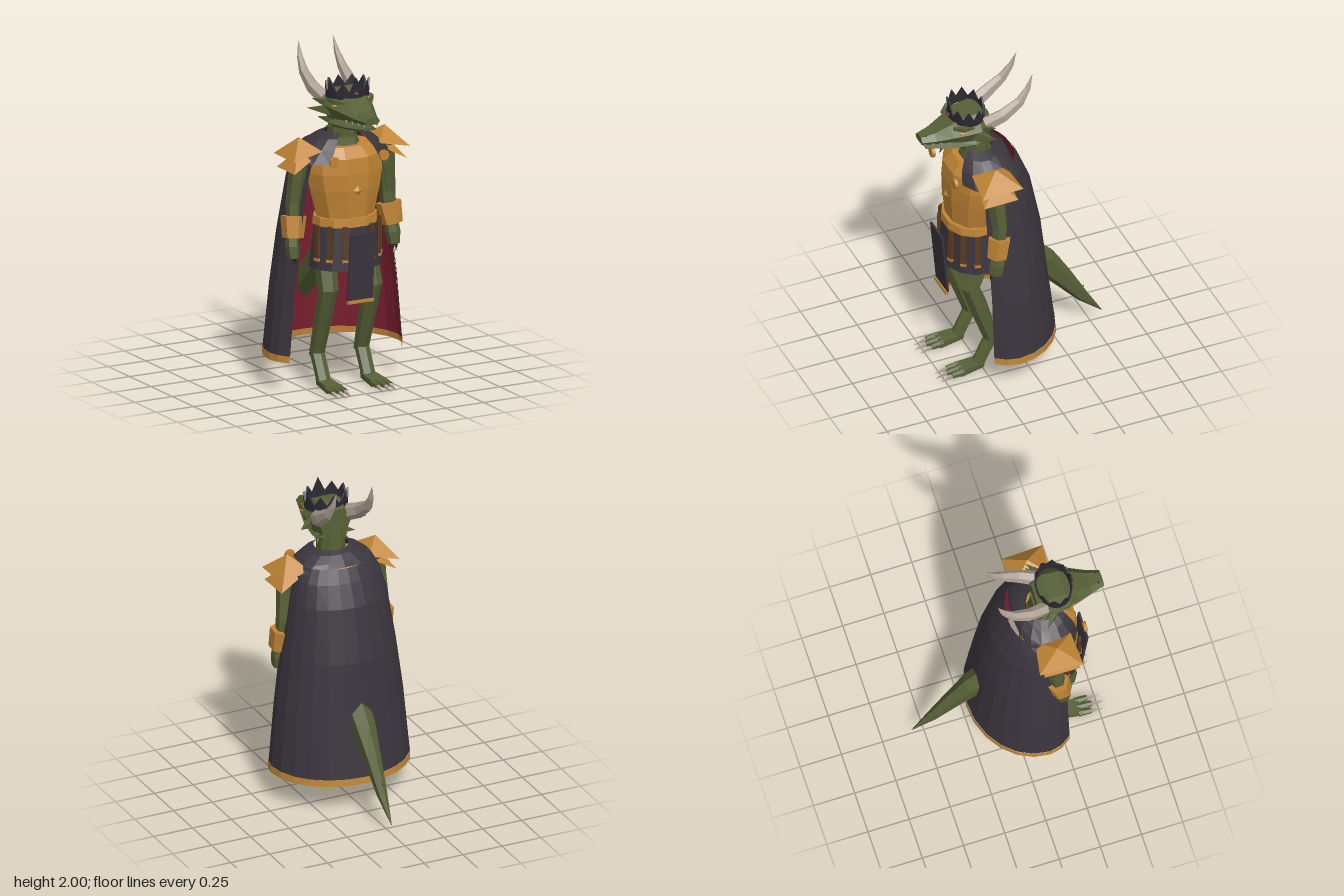
import * as THREE from 'three';
import { ConvexGeometry } from 'three/addons/geometries/ConvexGeometry.js';

const V = (x, y, z) => new THREE.Vector3(x, y, z);
const paint = (name, color, side = THREE.FrontSide) => {
  const m = new THREE.MeshStandardMaterial({ color, side });
  m.name = name;
  return m;
};

// Faceted skin over rows of points. Closed skins are turned outward by their volume.
function skin(rows, { closed = true, caps = true, flip = false } = {}) {
  const tris = [], n = rows[0].length, m = closed ? n : n - 1;
  for (let i = 0; i < rows.length - 1; i++) {
    for (let j = 0; j < m; j++) {
      const k = (j + 1) % n, a = rows[i][j], b = rows[i][k], c = rows[i + 1][k], d = rows[i + 1][j];
      tris.push([a, b, c], [a, c, d]);
    }
  }
  if (closed && caps) {
    [rows[0], rows[rows.length - 1]].forEach((r, e) => {
      const mid = r.reduce((s, p) => s.add(p), V(0, 0, 0)).divideScalar(n);
      r.forEach((p, j) => tris.push(e ? [p, r[(j + 1) % n], mid] : [r[(j + 1) % n], p, mid]));
    });
  }
  if (closed) flip = tris.reduce((s, [a, b, c]) => s + a.dot(b.clone().cross(c)), 0) < 0;
  const pts = tris.flatMap(([a, b, c]) => (flip ? [a, c, b] : [a, b, c]));
  const g = new THREE.BufferGeometry().setFromPoints(pts);
  g.computeVertexNormals();
  return g;
}

// Tapered limb along points [x, y, z, radius, optional second radius].
function limb(path, sides = 6) {
  const P = path.map(p => V(p[0], p[1], p[2]));
  const first = P[1].clone().sub(P[0]).normalize();
  const ref = Math.abs(first.x) > 0.75 ? V(0, 0, 1) : V(1, 0, 0);
  return skin(P.map((p, i) => {
    const t = P[Math.min(i + 1, P.length - 1)].clone().sub(P[Math.max(i - 1, 0)]).normalize();
    const v = t.clone().cross(ref).normalize(), u = v.clone().cross(t);
    return Array.from({ length: sides }, (_, j) => {
      const a = (j + 0.5) / sides * Math.PI * 2, r = path[i][3], r2 = path[i][4] ?? r;
      return p.clone().addScaledVector(u, Math.cos(a) * r).addScaledVector(v, Math.sin(a) * r2);
    });
  }));
}

// Horizontal elliptical rows [y, rx, rz, zCentre].
const barrel = (rows, sides) => skin(rows.map(([y, rx, rz, zc]) =>
  Array.from({ length: sides }, (_, j) => {
    const a = (j + 0.5) / sides * Math.PI * 2;
    return V(Math.sin(a) * rx, y, zc + Math.cos(a) * rz);
  })));

// Six-sided head sections [z, halfWidth, bottom, top].
const jaw = rows => skin(rows.map(([z, w, b, t]) => {
  const m = b + (t - b) * 0.45;
  return [V(w * 0.55, t, z), V(w, m, z), V(w * 0.75, b, z), V(-w * 0.75, b, z), V(-w, m, z), V(-w * 0.55, t, z)];
}));

export function createModel() {
  const model = new THREE.Group();
  const green = paint('scale green', 0x566036), gold = paint('gold', 0xc08535, THREE.DoubleSide);
  const cloth = paint('charcoal cloth', 0x3b353d, THREE.DoubleSide), iron = paint('black iron', 0x2c2931);
  const cape = paint('cape charcoal', 0x3b353d), red = paint('crimson', 0x7d2030);
  const bone = paint('bone', 0xb0a296), leather = paint('brown leather', 0x5e3c20), amber = paint('amber', 0xd98a1e);
  const add = (name, geo, mat, pos, rot) => {
    const m = new THREE.Mesh(geo, mat);
    m.name = name;
    if (pos) m.position.set(...pos);
    if (rot) m.rotation.set(...rot);
    model.add(m);
    return m;
  };

  // Cape: outer cloth, lining and hem; rows are [y, half width, back z, centre z]
  const capeRows = [[0.18, 0.43, -0.24, 0.13], [0.22, 0.427, -0.236, 0.13], [0.6, 0.392, -0.19, 0.13], [0.92, 0.35, -0.155, 0.135],
    [1.245, 0.3, -0.09, 0.14], [1.38, 0.265, -0.035, 0.15], [1.46, 0.22, 0.005, 0.16]];
  const capeLine = ([y, rx, zb, zc], inset = 0) => Array.from({ length: 17 }, (_, j) => {
    const a = (j / 8 - 1) * 2.1, c = Math.cos(a);
    return V(Math.sin(a) * (rx - inset), y, zc - c * (c > 0 ? zc - zb - inset : 0.27));
  });
  const open = { closed: false };
  add('cape', skin(capeRows.slice(1).map(r => capeLine(r)), { closed: false, flip: true }), cape);
  add('capeLining', skin(capeRows.slice(1).map(r => capeLine(r, 0.006)), open), red);
  add('capeHem', skin(capeRows.slice(0, 2).map(r => capeLine(r, -0.002)), open), gold);
  add('capeCollarLining', skin([[1.46, 0.22, 0.005, 0.16], [1.455, 0.19, 0.04, 0.16]].map(r => capeLine(r)), open), red);

  // Mantle around the neck, open at the front
  add('mantle', skin([[1.37, 0.32, 0.185], [1.44, 0.25, 0.17], [1.5, 0.17, 0.13], [1.525, 0.105, 0.095]].map(([y, rx, rz], i) =>
    Array.from({ length: 15 }, (_, j) => {
      const a = (j / 7 - 1) * 2.6;
      return V(Math.sin(a) * rx, y + [0.08, 0.04, 0.01, 0][i] * Math.max(0, Math.cos(a)), 0.22 - Math.cos(a) * rz);
    })), open), cloth);

  // Torso armour, belt and skirt
  add('breastplate', barrel([[1.03, 0.18, 0.145, 0.255], [1.2, 0.225, 0.165, 0.25], [1.3, 0.245, 0.17, 0.245],
    [1.39, 0.24, 0.165, 0.24], [1.45, 0.19, 0.12, 0.235]], 10), gold);
  add('belt', barrel([[0.985, 0.2, 0.168, 0.258], [1.035, 0.195, 0.163, 0.258]], 12), gold);
  add('skirt', barrel([[0.73, 0.225, 0.18, 0.26], [0.99, 0.19, 0.158, 0.26]], 12), cloth);
  add('chestGem', new THREE.OctahedronGeometry(0.03), gold, [0, 1.2, 0.41]).scale.z = 0.5;
  for (const s of [-1, 1]) {
    add('brooch', new THREE.CylinderGeometry(0.032, 0.032, 0.02, 8).toNonIndexed(), gold, [s * 0.165, 1.395, 0.425], [Math.PI / 2, 0, 0]);
    for (const deg of [24, 50, 76]) {
      const a = s * deg * Math.PI / 180;
      const strap = new THREE.Group();
      strap.name = 'skirtStrap';
      strap.position.set(Math.sin(a) * 0.216, 0.89, 0.26 + Math.cos(a) * 0.174);
      strap.rotation.y = a;
      const band = new THREE.Mesh(new THREE.BoxGeometry(0.03, 0.21, 0.014), leather);
      band.name = 'strapBand';
      const stud = new THREE.Mesh(new THREE.BoxGeometry(0.036, 0.016, 0.02), gold);
      stud.name = 'strapTip';
      stud.position.y = -0.1;
      strap.add(band, stud);
      model.add(strap);
    }
  }
  add('tabard', new THREE.BoxGeometry(0.165, 0.41, 0.012), cloth, [0, 0.755, 0.45], [0.09, 0, 0]);
  add('tabardTrim', new THREE.BoxGeometry(0.17, 0.018, 0.02), gold, [0, 0.545, 0.438]);

  // Neck, head and jaw
  add('neck', limb([[0, 1.4, 0.22, 0.12], [0, 1.5, 0.225, 0.085], [0, 1.65, 0.23, 0.082]], 8), green);
  add('head', jaw([[0.58, 0.05, 1.635, 1.678], [0.5, 0.075, 1.63, 1.695], [0.41, 0.11, 1.63, 1.738],
    [0.34, 0.135, 1.625, 1.775], [0.24, 0.14, 1.615, 1.79], [0.165, 0.1, 1.62, 1.76]]), green);
  add('lowerJaw', jaw([[0.55, 0.042, 1.593, 1.61], [0.4, 0.085, 1.572, 1.607], [0.26, 0.105, 1.56, 1.615], [0.17, 0.08, 1.57, 1.62]]), green);

  // Crown with pointed rim and a front gem
  const crownRow = (k, top) => Array.from({ length: 20 }, (_, j) => {
    const a = j / 20 * Math.PI * 2;
    const y = !top ? 1.745 : j % 2 ? 1.785 : j === 0 ? 1.872 : 1.842;
    return V(Math.sin(a) * 0.132 * k, y, 0.287 + Math.cos(a) * 0.104 * k);
  });
  add('crown', skin([crownRow(1), crownRow(1.04, true), crownRow(0.95, true), crownRow(0.91), crownRow(1)], { caps: false }), iron);
  add('crownGem', new THREE.OctahedronGeometry(0.017), red, [0, 1.775, 0.395]);

  // Tail with two small spines
  add('tail', limb([[0, 0.86, 0.16, 0.08, 0.09], [0, 0.7, -0.03, 0.075, 0.09], [0, 0.535, -0.2, 0.07, 0.083],
    [0, 0.38, -0.32, 0.05, 0.062], [0, 0.2, -0.45, 0.03, 0.036], [0, 0.06, -0.572, 0.002]], 6), green);
  add('tailSpine', limb([[0, 0.48, -0.29, 0.012], [0, 0.525, -0.31, 0.001]], 4), iron);
  add('tailSpine', limb([[0, 0.24, -0.44, 0.01], [0, 0.275, -0.46, 0.001]], 4), iron);

  // Mirrored parts
  for (const s of [-1, 1]) {
    const side = pts => pts.map(([x, ...rest]) => [s * x, ...rest]);
    const hull = pts => new ConvexGeometry(pts.map(p => V(s * p[0], p[1], p[2])));

    // Head details
    add('horn', limb(side([[0.1, 1.715, 0.2, 0.04, 0.05], [0.125, 1.765, 0.1, 0.035, 0.046], [0.128, 1.835, 0.0, 0.026, 0.034],
      [0.122, 1.91, -0.052, 0.016, 0.02], [0.115, 2.0, -0.085, 0.001]]), 6), bone);
    add('cheekSpike', limb(side([[0.1, 1.665, 0.27, 0.04], [0.21, 1.672, 0.185, 0.001]]), 4), green);
    add('cheekSpike', limb(side([[0.09, 1.7, 0.24, 0.035], [0.17, 1.72, 0.17, 0.001]]), 4), green);
    add('jawSpike', limb(side([[0.06, 1.59, 0.25, 0.035], [0.13, 1.605, 0.17, 0.001]]), 4), green);
    add('jawSpike', limb(side([[0.05, 1.575, 0.27, 0.025], [0.1, 1.55, 0.2, 0.001]]), 4), green);
    add('eye', new THREE.OctahedronGeometry(0.02), amber, [s * 0.122, 1.71, 0.35]).scale.set(0.7, 0.7, 1.4);
    add('brow', limb(side([[0.085, 1.73, 0.4, 0.01], [0.122, 1.735, 0.35, 0.02], [0.14, 1.74, 0.29, 0.006]]), 4), green);
    add('nostril', new THREE.OctahedronGeometry(0.008), iron, [s * 0.03, 1.682, 0.55]);
    for (let i = 0; i < 4; i++) {
      add('tooth', limb(side([[0.042 + i * 0.014, 1.637, 0.56 - i * 0.045, 0.008], [0.042 + i * 0.014, 1.615, 0.56 - i * 0.045, 0.001]]), 4), bone);
    }

    // Two-tier shoulder guard
    add('upperPauldron', hull([[0.285, 1.515, 0.22], [0.385, 1.4, 0.345], [0.375, 1.4, 0.085], [0.19, 1.44, 0.33], [0.19, 1.44, 0.115]]), gold);
    add('lowerPauldron', hull([[0.29, 1.44, 0.22], [0.375, 1.325, 0.33], [0.37, 1.325, 0.115], [0.25, 1.39, 0.31], [0.25, 1.39, 0.13]]), gold);

    // Arm, bracer, hand
    add('arm', limb(side([[0.28, 1.41, 0.22, 0.06], [0.295, 1.28, 0.22, 0.053], [0.31, 1.12, 0.205, 0.048], [0.32, 0.92, 0.22, 0.04]]), 6), green);
    add('bracer', limb(side([[0.315, 1.045, 0.21, 0.078, 0.07], [0.33, 0.92, 0.23, 0.062, 0.065]]), 6), gold);
    add('hand', limb(side([[0.328, 0.93, 0.225, 0.04], [0.332, 0.87, 0.23, 0.045, 0.05], [0.335, 0.8, 0.24, 0.033, 0.045]]), 6), green);
    for (let i = 0; i < 3; i++) {
      add('fingerClaw', limb(side([[0.335, 0.81, 0.21 + i * 0.03, 0.012], [0.33, 0.765, 0.215 + i * 0.03, 0.001]]), 4), iron);
    }

    // Leg, foot, toes and claws
    add('thigh', limb(side([[0.125, 0.85, 0.27, 0.07, 0.08], [0.14, 0.72, 0.28, 0.062, 0.075], [0.147, 0.59, 0.325, 0.058, 0.062]]), 6), green);
    add('shin', limb(side([[0.147, 0.62, 0.33, 0.055, 0.05], [0.147, 0.45, 0.27, 0.053, 0.055], [0.148, 0.18, 0.185, 0.044, 0.042]]), 6), green);
    add('ankle', limb(side([[0.148, 0.22, 0.185, 0.044, 0.04], [0.148, 0.045, 0.272, 0.044, 0.036]]), 6), green);
    add('foot', hull([[0.105, 0.06, 0.25], [0.19, 0.06, 0.25], [0.11, 0.025, 0.25], [0.185, 0.025, 0.25],
      [0.098, 0.045, 0.4], [0.2, 0.045, 0.4], [0.098, 0.006, 0.4], [0.2, 0.006, 0.4]]), green);
    for (let i = -1; i <= 1; i++) {
      const x = 0.15 + i * 0.038, z = i ? 0 : 0.015;
      add('toe', limb(side([[x, 0.03, 0.38, 0.022], [x + i * 0.003, 0.024, 0.455 + z, 0.017]]), 6), green);
      add('toeClaw', limb(side([[x + i * 0.003, 0.024, 0.445 + z, 0.015], [x + i * 0.005, 0.004, 0.525 + z, 0.001]]), 4), bone);
    }
  }
  return model;
}
